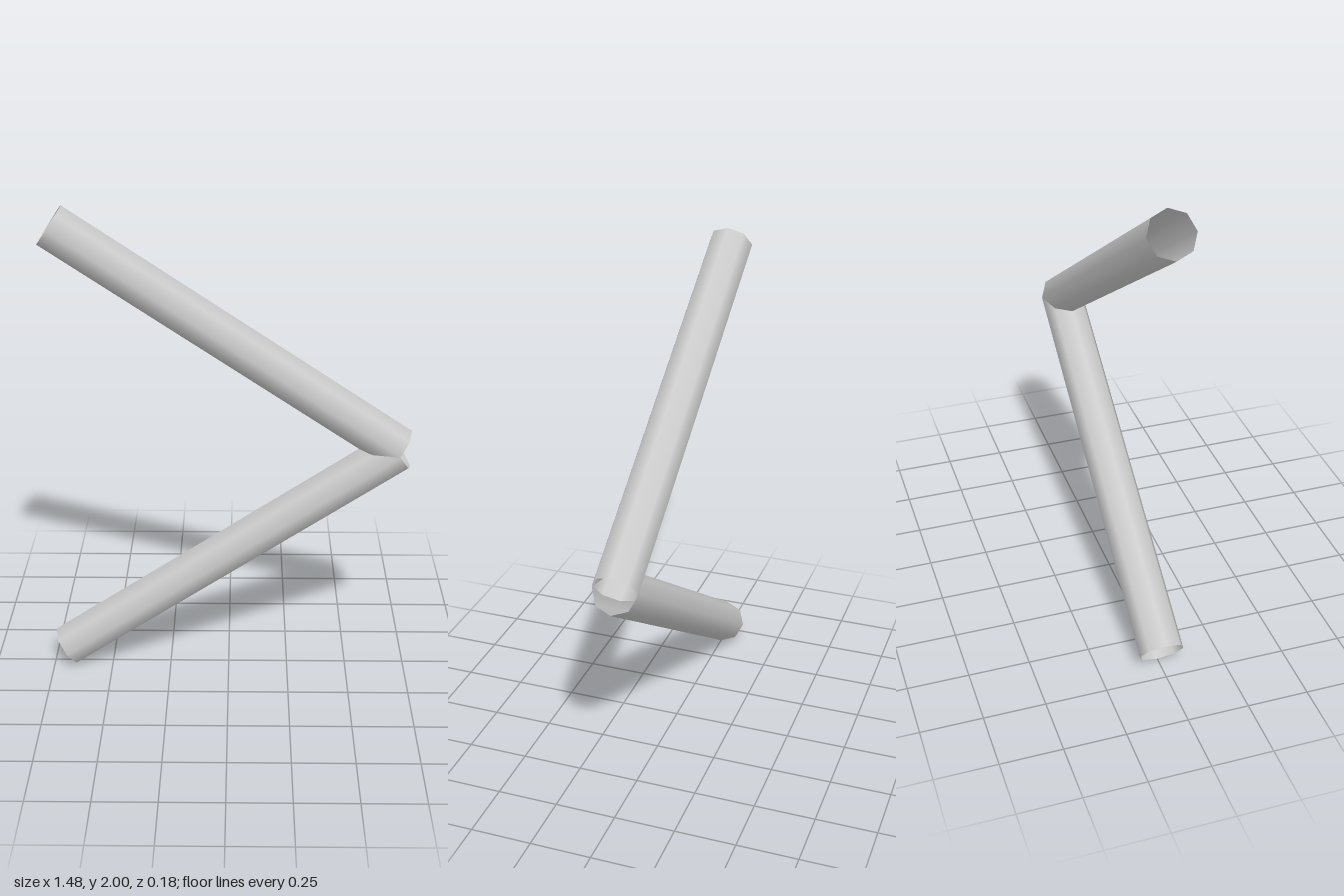
import * as THREE from 'three';

const RADIUS = 0.092;

// Open eight-sided tube between two points in the z = 0 plane
function tube(name, a, b, material) {
  const dir = b.clone().sub(a);
  const geometry = new THREE.CylinderGeometry(RADIUS, RADIUS, dir.length(), 8, 1, true);
  const mesh = new THREE.Mesh(geometry, material);
  mesh.name = name;
  mesh.position.copy(a).add(b).multiplyScalar(0.5);
  mesh.quaternion.setFromUnitVectors(new THREE.Vector3(0, 1, 0), dir.normalize());
  return mesh;
}

export function createModel() {
  const group = new THREE.Group();
  group.name = 'chevron';
  const material = new THREE.MeshStandardMaterial({ color: 0xcccccc, side: THREE.DoubleSide });

  // Two arms mirrored about y = 1, crossing at the tip
  for (const [name, s] of [['upperArm', 1], ['lowerArm', -1]]) {
    const tip = new THREE.Vector3(0.69, 1 + s * 0.003, 0);
    const end = new THREE.Vector3(-0.69, 1 + s * 0.9235, 0);
    group.add(tube(name, tip, end, material));
  }
  return group;
}
